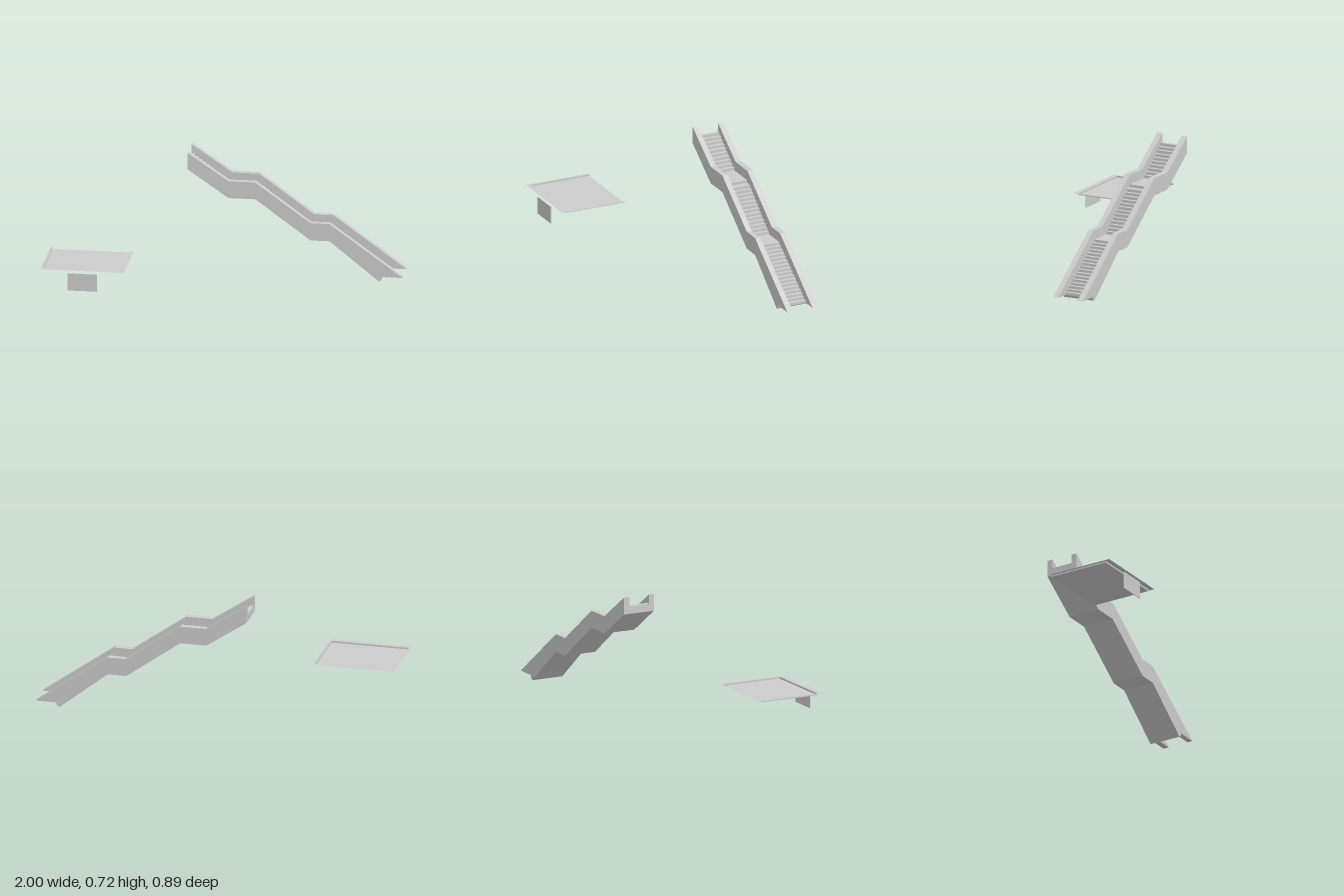
import * as THREE from 'three';

const mat = new THREE.MeshStandardMaterial({ color: 0xcccccc, flatShading: true, side: THREE.DoubleSide });

// Extrude a side profile (x, y) between two z positions.
function slab(name, points, z0, z1) {
  const shape = new THREE.Shape(points.map(([x, y]) => new THREE.Vector2(x, y)));
  const geo = new THREE.ExtrudeGeometry(shape, { depth: z1 - z0, bevelEnabled: false });
  geo.translate(0, 0, z0);
  const mesh = new THREE.Mesh(geo, mat);
  mesh.name = name;
  return mesh;
}

// Flat horizontal sheet.
function sheet(name, x0, x1, z0, z1, y) {
  const geo = new THREE.PlaneGeometry(x1 - x0, z1 - z0).rotateX(-Math.PI / 2);
  const mesh = new THREE.Mesh(geo, mat);
  mesh.position.set((x0 + x1) / 2, y, (z0 + z1) / 2);
  mesh.name = name;
  return mesh;
}

// Points of a descending flight: tread, then riser, repeated.
function flight(x0, y0, x1, y1, count) {
  const pts = [];
  const run = (x1 - x0) / count, rise = (y0 - y1) / count;
  for (let i = 0; i < count; i++) {
    const x = x0 + run * (i + 1);
    pts.push([x, y0 - rise * i], [x, y0 - rise * (i + 1)]);
  }
  return pts;
}

function createStairway() {
  const group = new THREE.Group();
  group.name = 'stairway';

  // Cranked parapets on both sides
  const underside = [
    [0.88, 0.03], [0.875, 0.012], [0.86, 0.003], [0.575, 0.232], [0.465, 0.232],
    [0.145, 0.465], [-0.01, 0.465], [-0.247, 0.627],
  ];
  const parapet = [
    [-0.247, 0.727], [-0.01, 0.567], [0.145, 0.567], [0.465, 0.336], [0.575, 0.336], [1, 0.03],
    ...underside,
  ];
  group.add(slab('leftParapet', parapet, -0.288, -0.255));
  group.add(slab('rightParapet', parapet, -0.45, -0.415));

  // Three flights with two landings between the parapets
  const steps = [
    [-0.247, 0.673],
    ...flight(-0.247, 0.673, -0.03, 0.51, 10),
    ...flight(0.14, 0.51, 0.425, 0.28, 14).map((p) => p),
    ...flight(0.545, 0.28, 0.91, 0.03, 17),
  ];
  // Each flight after the first starts one tread late, so add the landing corner
  steps.splice(21, 0, [0.14, 0.51], [0.14, 0.4936]);
  steps.splice(23, 1);
  group.add(slab('steps', [...steps, ...underside], -0.415, -0.288));
  return group;
}

function createTray() {
  const group = new THREE.Group();
  group.name = 'tray';
  const [x0, x1, z0, z1, low, high] = [-0.988, -0.53, 0.045, 0.413, 0.21, 0.22];

  // Sunken panel with three upstand sides, open at the back
  group.add(sheet('trayPanel', x0, x1, z0, z1, low));
  const sides = [['traySideRight', x0, z0, x0, z1], ['traySideLeft', x1, z0, x1, z1], ['traySideFront', x0, z1, x1, z1]];
  for (const [name, ax, az, bx, bz] of sides) {
    const side = new THREE.Mesh(new THREE.PlaneGeometry(Math.hypot(bx - ax, bz - az), high - low), mat);
    side.position.set((ax + bx) / 2, (low + high) / 2, (az + bz) / 2);
    if (ax === bx) side.rotation.y = Math.PI / 2;
    side.name = name;
    group.add(side);
  }

  // Flat rim around the three sides
  group.add(sheet('rimRight', -1, x0, z0, 0.443, high));
  group.add(sheet('rimLeft', x1, -0.516, z0, 0.443, high));
  group.add(sheet('rimFront', x0, x1, z1, 0.443, high));
  return group;
}

export function createModel() {
  const model = new THREE.Group();
  model.name = 'stairwayAndTray';
  model.add(createStairway(), createTray());

  // Upright panel below the front rim
  const panel = new THREE.Mesh(new THREE.BoxGeometry(0.172, 0.103, 0.004), mat);
  panel.position.set(-0.757, 0.151, 0.443);
  panel.name = 'uprightPanel';
  model.add(panel);
  return model;
}
